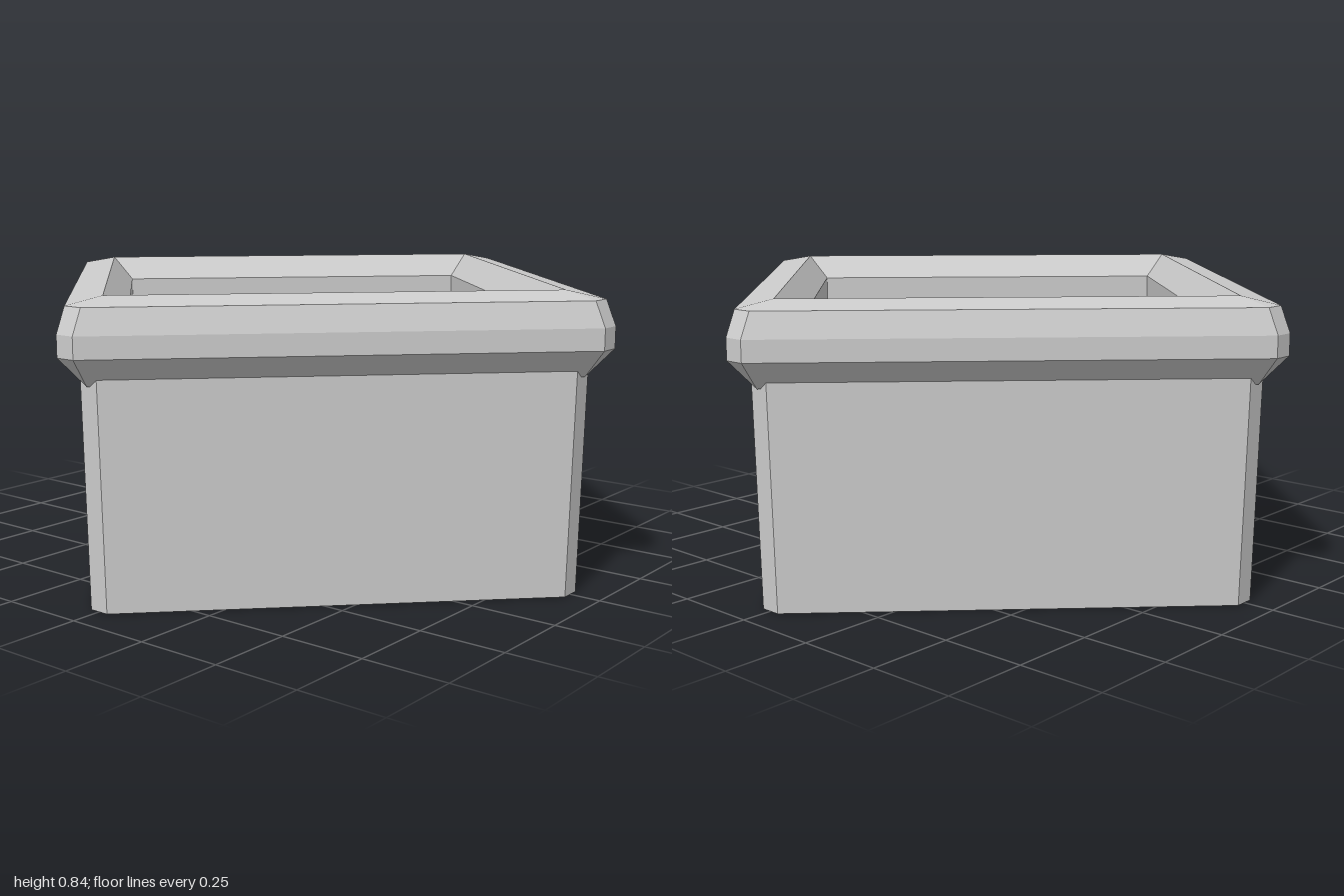
import * as THREE from 'three';

const material = new THREE.MeshStandardMaterial({ color: 0xcccccc, flatShading: true });

// Eight corners of a diamond: tips at distance t on each axis, cut to half-width c
function ring([t, y, c]) {
  const points = [];
  for (let k = 0; k < 4; k++) {
    const dx = Math.round(Math.cos(k * Math.PI / 2));
    const dz = Math.round(Math.sin(k * Math.PI / 2));
    for (const s of [-c, c]) points.push([dx * t - dz * s, y, dz * t + dx * s]);
  }
  return points;
}

// Skin a series of rings [tip, height, cornerCut], leaving out empty triangles
function loft(name, profile) {
  const rings = profile.map(ring);
  const positions = [];
  const same = (p, q) => p.every((v, i) => Math.abs(v - q[i]) < 1e-6);
  const tri = (a, b, c) => {
    if (!same(a, b) && !same(b, c) && !same(a, c)) positions.push(...a, ...b, ...c);
  };
  for (let r = 0; r < rings.length - 1; r++) {
    for (let i = 0; i < 8; i++) {
      const j = (i + 1) % 8;
      tri(rings[r][i], rings[r + 1][i], rings[r + 1][j]);
      tri(rings[r][i], rings[r + 1][j], rings[r][j]);
    }
  }
  const geometry = new THREE.BufferGeometry();
  geometry.setAttribute('position', new THREE.Float32BufferAttribute(positions, 3));
  geometry.computeVertexNormals();
  const mesh = new THREE.Mesh(geometry, material);
  mesh.name = name;
  return mesh;
}

export function createModel() {
  const group = new THREE.Group();
  group.name = 'squarePlanter';

  // Hollow box: underside, tapered outer walls, inner walls and floor
  group.add(loft('planterBox', [
    [0, 0, 0],
    [0.91, 0, 0.03],
    [0.925, 0.67, 0.03],
    [0.82, 0.69, 0],
    [0.82, 0.06, 0],
    [0, 0.06, 0],
  ]));

  // Bevelled rim, closed all round its cross-section
  group.add(loft('rim', [
    [0.93, 0.61, 0],
    [1.0, 0.69, 0.03],
    [1.0, 0.75, 0.03],
    [0.97, 0.82, 0.03],
    [0.865, 0.84, 0],
    [0.78, 0.77, 0],
    [0.78, 0.68, 0],
    [0.93, 0.61, 0],
  ]));

  return group;
}
